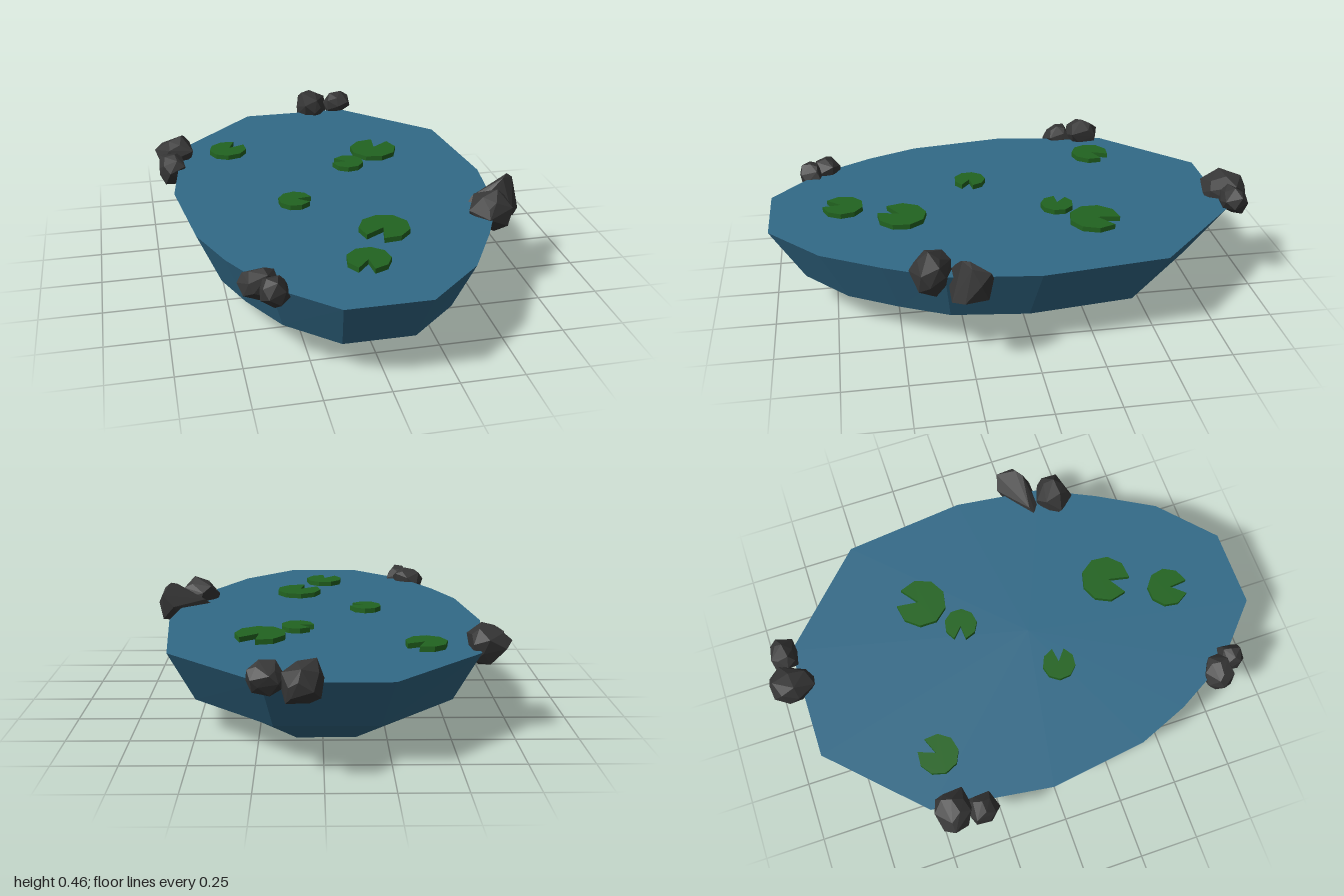
import * as THREE from 'three';
import { ConvexGeometry } from 'three/addons/geometries/ConvexGeometry.js';

const material = (color) => new THREE.MeshStandardMaterial({ color, flatShading: true });
const V = (x, y, z) => new THREE.Vector3(x, y, z);

const WATER_Y = 0.36;

// shoreline as [x, z], clockwise from above
const SHORE = [
  [-0.25, -0.88], [0.22, -0.88], [0.59, -0.52], [0.645, -0.02], [0.6, 0.34], [0.49, 0.57], [0.36, 0.8],
  [0.14, 1], [-0.18, 1], [-0.4, 0.8], [-0.53, 0.57], [-0.615, 0.36], [-0.67, -0.04], [-0.6, -0.53],
];

function random(seed) {
  let s = seed * 7919 + 17;
  return () => (s = (s * 16807) % 2147483647) / 2147483647;
}

// scaled copy of the shoreline at height y
function ring(y, sx, sz, cz) {
  return SHORE.map(([x, z]) => V(-0.01 + (x + 0.01) * sx, y, cz + (z - 0.06) * sz));
}

function trianglesMesh(points, mat, name) {
  const geometry = new THREE.BufferGeometry().setFromPoints(points);
  geometry.computeVertexNormals();
  const mesh = new THREE.Mesh(geometry, mat);
  mesh.name = name;
  return mesh;
}

// flat lid over a ring, facing up or down
function lid(loop, up) {
  const centre = V(-0.01, loop[0].y, 0.08);
  return loop.flatMap((a, i) => {
    const b = loop[(i + 1) % loop.length];
    return up ? [centre, b, a] : [centre, a, b];
  });
}

// disc with a wedge cut out toward the given angle (degrees, 0 = +x, 90 = +z)
function lilyPad(x, z, r, notch, mat) {
  const dir = THREE.MathUtils.degToRad(notch);
  const sides = 8, gap = 0.36;
  const shape = new THREE.Shape();
  shape.moveTo(Math.cos(dir) * r * 0.12, -Math.sin(dir) * r * 0.12);
  for (let i = 0; i <= sides; i++) {
    const a = dir + gap + (i / sides) * (Math.PI * 2 - gap * 2);
    shape.lineTo(Math.cos(a) * r, -Math.sin(a) * r);
  }
  shape.closePath();
  const geometry = new THREE.ExtrudeGeometry(shape, { depth: 0.022, bevelEnabled: false });
  geometry.rotateX(-Math.PI / 2);
  const pad = new THREE.Mesh(geometry, mat);
  pad.position.set(x, WATER_Y - 0.001, z);
  pad.name = 'lilyPad';
  return pad;
}

// faceted boulder filling the box x0..x1, y0..y1, z0..z1
function boulder([x0, x1, y0, y1, z0, z1], seed, mat) {
  const rand = random(seed);
  const points = [];
  for (let i = 0; i < 22; i++) {
    const y = 1 - (2 * i + 1) / 22;
    const a = i * 2.39996 + rand() * 0.7;
    const r = Math.sqrt(1 - y * y);
    points.push(V(Math.cos(a) * r, y, Math.sin(a) * r).multiplyScalar(0.82 + rand() * 0.3));
  }
  const box = new THREE.Box3().setFromPoints(points);
  const size = box.getSize(V(0, 0, 0));
  points.forEach((p) => p.sub(box.min).divide(size)
    .multiply(V(x1 - x0, y1 - y0, z1 - z0)).add(V(x0, y0, z0)));
  const rock = new THREE.Mesh(new ConvexGeometry(points), mat);
  rock.name = 'rock';
  return rock;
}

export function createModel() {
  const pond = new THREE.Group();
  pond.name = 'pond';
  const blue = material(0x326a88);
  const green = material(0x226420);
  const grey = material(0x363636);

  // basin: rim, shoulder and floor rings
  const rings = [ring(WATER_Y, 1, 1, 0.06), ring(0.137, 0.85, 0.84, 0.08), ring(0, 0.495, 0.6, 0.095)];
  const walls = [];
  for (let k = 0; k < 2; k++) {
    rings[k].forEach((a, i) => {
      const j = (i + 1) % SHORE.length;
      const b = rings[k][j], c = rings[k + 1][j], d = rings[k + 1][i];
      walls.push(a, b, c, a, c, d);
    });
  }
  pond.add(trianglesMesh([...walls, ...lid(rings[2], false)], blue, 'basin'));
  pond.add(trianglesMesh(lid(rings[0], true), blue, 'waterSurface'));

  // lily pads: x, z, radius, notch direction
  const pads = new THREE.Group();
  pads.name = 'lilyPads';
  [
    [-0.4, -0.435, 0.083, -45], [0.245, -0.307, 0.104, -60], [0.1, -0.18, 0.068, 200],
    [-0.195, 0.15, 0.068, 15], [0.1, 0.465, 0.101, 125], [-0.02, 0.7, 0.084, 108],
  ].forEach((p) => pads.add(lilyPad(...p, green)));
  pond.add(pads);

  // boulders in pairs around the shore
  const rocks = new THREE.Group();
  rocks.name = 'rocks';
  [
    [0, 0.15, 0.3, 0.456, -1, -0.82], [0.135, 0.27, 0.33, 0.45, -0.965, -0.855],
    [-0.725, -0.56, 0.29, 0.458, -0.52, -0.37], [-0.715, -0.6, 0.28, 0.415, -0.39, -0.265],
    [0.465, 0.645, 0.277, 0.46, 0.31, 0.47],
    [-0.51, -0.365, 0.295, 0.422, 0.705, 0.825], [-0.44, -0.335, 0.3, 0.418, 0.785, 0.885],
  ].forEach((b, i) => rocks.add(boulder(b, i + 3, grey)));

  // long wedge-shaped boulder
  const wedge = new THREE.Mesh(new ConvexGeometry([
    V(0.49, 0.35, 0.29), V(0.5, 0.33, 0.32), V(0.52, 0.38, 0.27), V(0.6, 0.31, 0.325), V(0.65, 0.37, 0.165),
    V(0.7, 0.42, 0.18), V(0.72, 0.38, 0.22), V(0.718, 0.31, 0.28), V(0.68, 0.3, 0.325), V(0.67, 0.46, 0.255),
    V(0.645, 0.45, 0.28), V(0.695, 0.44, 0.25), V(0.62, 0.3, 0.2), V(0.7, 0.31, 0.19),
  ]), grey);
  wedge.name = 'wedgeRock';
  rocks.add(wedge);
  pond.add(rocks);

  return pond;
}
